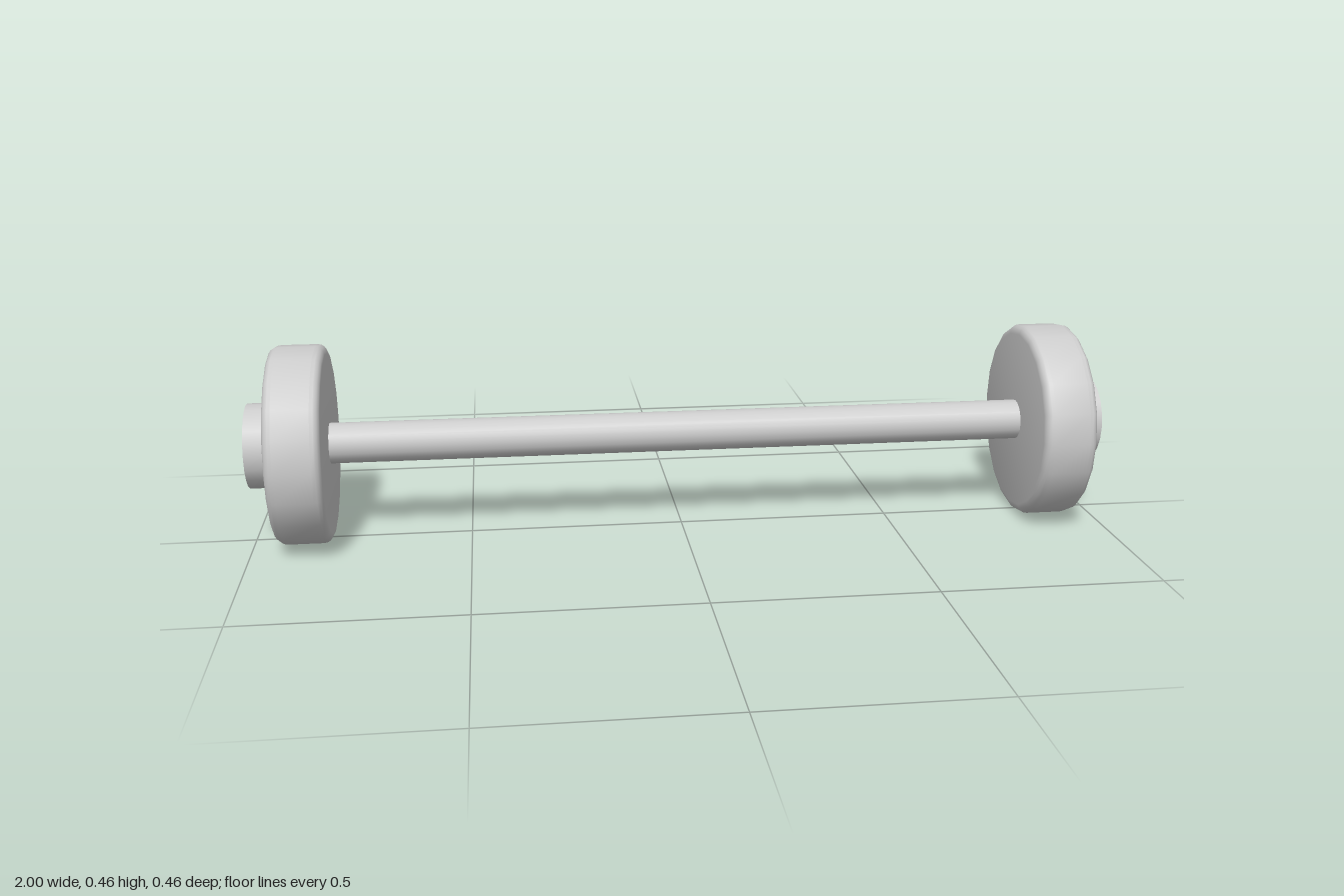
import * as THREE from 'three';
import { toCreasedNormals } from 'three/addons/utils/BufferGeometryUtils.js';

const SIDES = 20;
const WHEEL_R = 0.23;
const WHEEL_W = 0.125;
const BEVEL = 0.021;

// Disc with rounded rims, turned about the y axis
function wheelGeometry() {
  const h = WHEEL_W / 2;
  const points = [new THREE.Vector2(0, -h)];
  const steps = 4;
  for (const side of [-1, 1]) {
    for (let i = 0; i <= steps; i++) {
      const a = (side < 0 ? i - steps : i) / steps * Math.PI / 2;
      points.push(new THREE.Vector2(
        WHEEL_R - BEVEL + BEVEL * Math.cos(a),
        side * (h - BEVEL) + BEVEL * Math.sin(a)));
    }
  }
  points.push(new THREE.Vector2(0, h));
  return toCreasedNormals(new THREE.LatheGeometry(points, SIDES), Math.PI / 6);
}

export function createModel() {
  const group = new THREE.Group();
  group.name = 'wheelAxle';
  const material = new THREE.MeshStandardMaterial({ color: 0xcccccc });

  // Lays a y-axis part along x at the axle height
  function add(name, geometry, x) {
    const mesh = new THREE.Mesh(geometry, material);
    mesh.name = name;
    mesh.rotation.z = -Math.PI / 2;
    mesh.position.set(x, WHEEL_R, 0);
    group.add(mesh);
  }

  // Long axle between the wheels
  add('axle', new THREE.CylinderGeometry(0.047, 0.047, 1.7, SIDES), 0);

  // Wheels and protruding hub caps
  const wheel = wheelGeometry();
  const hub = new THREE.CylinderGeometry(0.098, 0.098, 0.1, SIDES);
  for (const [label, s] of [['left', 1], ['right', -1]]) {
    add(label + 'Wheel', wheel, s * 0.879);
    add(label + 'Hub', hub, s * 0.95);
  }
  return group;
}
